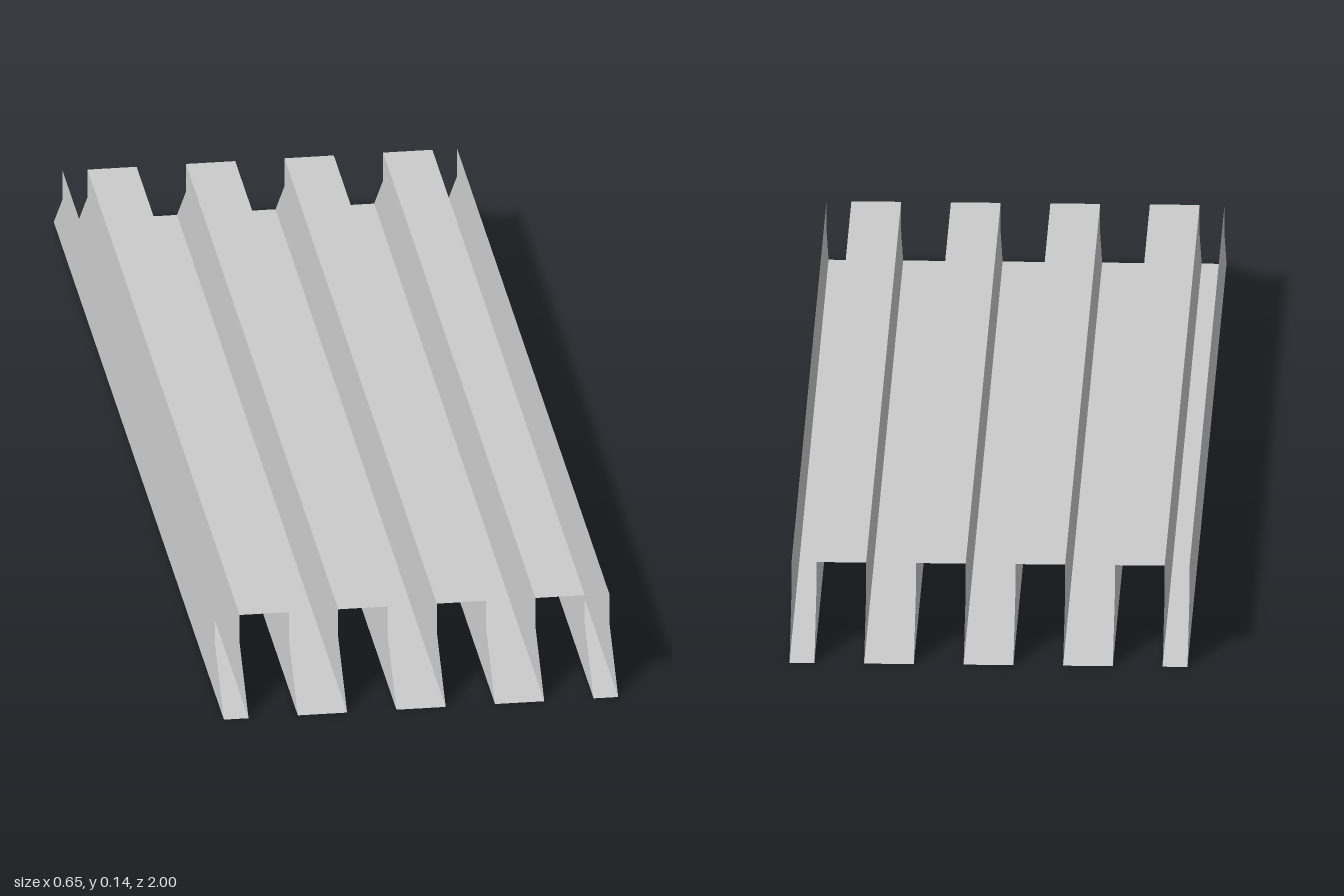
import * as THREE from 'three';

// Corrugated deck sheet: square ribs running along z, thin walls, open ends.
const HALF_LENGTH = 1, RIB_HALF = 0.895, HEIGHT = 0.138, NOTCH_Y = 0.088;
const HALF_WIDTH = 0.325, RIBS = 4;
const PITCH = (2 * HALF_WIDTH) / RIBS, FLAT = PITCH / 2;

export function createModel() {
  const group = new THREE.Group();
  const material = new THREE.MeshStandardMaterial({
    color: 0xcccccc, flatShading: true, side: THREE.DoubleSide,
  });

  const add = (name, geometry, x, y) => {
    const mesh = new THREE.Mesh(geometry, material);
    mesh.name = name;
    mesh.position.set(x, y, 0);
    group.add(mesh);
  };

  // Horizontal strip between two x positions
  const strip = (name, x0, x1, y, halfLength) =>
    add(name, new THREE.PlaneGeometry(x1 - x0, 2 * halfLength).rotateX(-Math.PI / 2), (x0 + x1) / 2, y);

  // Upright web with sloped ends, shared by every wall
  const web = new THREE.ShapeGeometry(new THREE.Shape([
    [-HALF_LENGTH, 0], [HALF_LENGTH, 0], [RIB_HALF, NOTCH_Y], [RIB_HALF, HEIGHT],
    [-RIB_HALF, HEIGHT], [-RIB_HALF, NOTCH_Y],
  ].map(([z, y]) => new THREE.Vector2(z, y)))).rotateY(Math.PI / 2);

  // Raised ribs, each with a wall on either side
  for (let i = 0; i < RIBS; i++) {
    const centre = -HALF_WIDTH + (i + 0.5) * PITCH;
    strip('ribTop', centre - FLAT / 2, centre + FLAT / 2, HEIGHT, RIB_HALF);
    for (const s of [-1, 1]) add('ribWall', web, centre + (s * FLAT) / 2, 0);
  }

  // Valley floors; the outermost two are half width
  for (let i = 0; i <= RIBS; i++) {
    const centre = -HALF_WIDTH + i * PITCH;
    strip('valleyFloor',
      Math.max(centre - FLAT / 2, -HALF_WIDTH),
      Math.min(centre + FLAT / 2, HALF_WIDTH), 0, HALF_LENGTH);
  }

  // Outer side walls
  add('leftSideWall', web, HALF_WIDTH, 0);
  add('rightSideWall', web, -HALF_WIDTH, 0);

  return group;
}
